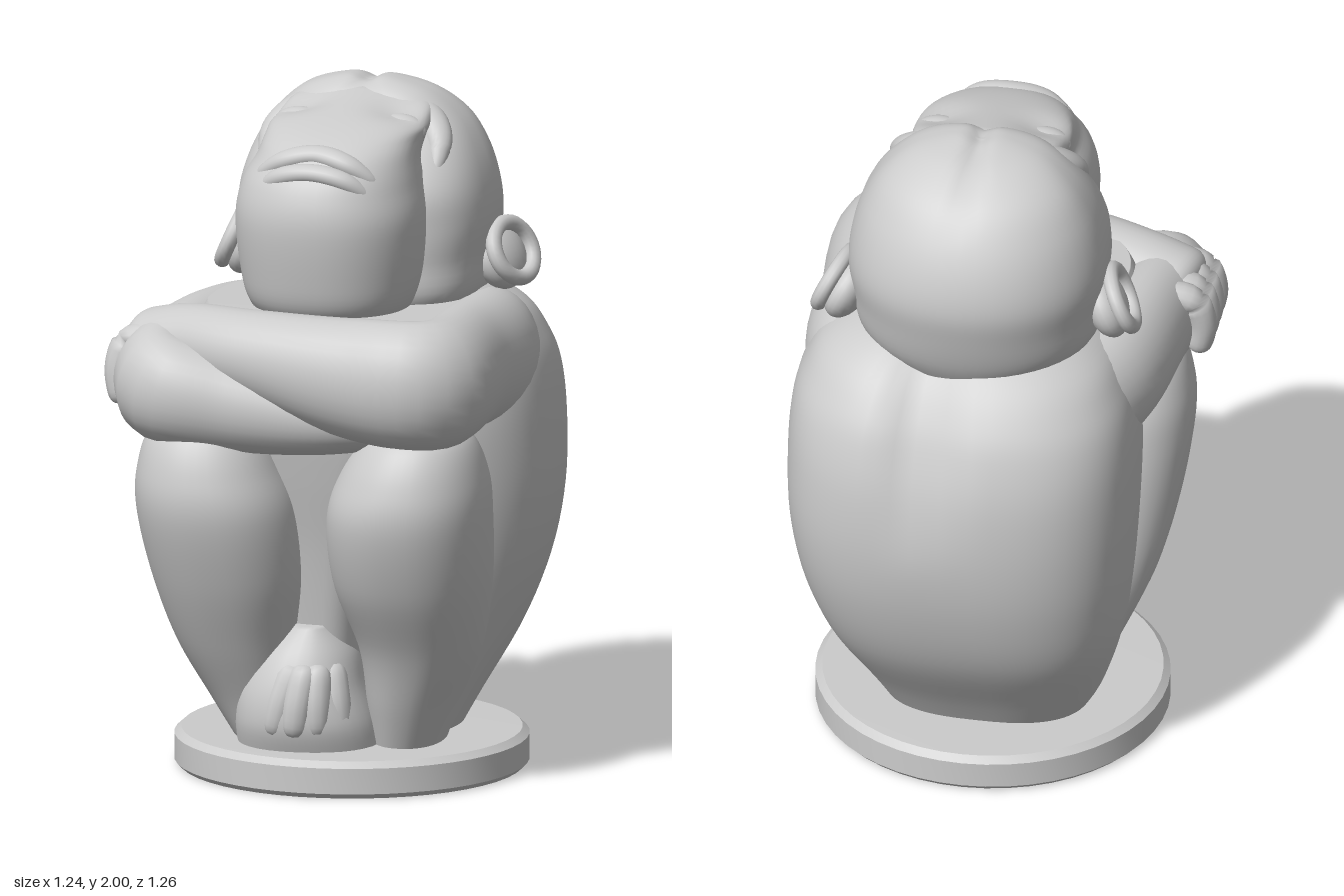
import * as THREE from 'three';
import { toCreasedNormals } from 'three/addons/utils/BufferGeometryUtils.js';

const material = new THREE.MeshStandardMaterial({ color: 0xcccccc });
const YAW = -0.15; // the torso and head both turn a little to one side
const V = (x, y, z) => new THREE.Vector3(x, y, z);

function part(name, geometry, parent) {
  const mesh = new THREE.Mesh(geometry, material);
  mesh.name = name;
  parent.add(mesh);
  return mesh;
}

// Smooth closed skin over a stack of rings (arrays of points)
function skin(rings) {
  const n = rings[0].length, pos = [], idx = [];
  rings.forEach(r => r.forEach(p => pos.push(p.x, p.y, p.z)));
  for (let i = 0; i < rings.length - 1; i++)
    for (let j = 0; j < n; j++) {
      const a = i * n + j, c = i * n + (j + 1) % n;
      idx.push(a, a + n, c, c, a + n, c + n);
    }
  const top = (rings.length - 1) * n;
  for (const ring of [rings[0], rings.at(-1)]) {
    const m = ring.reduce((s, p) => s.add(p), V(0, 0, 0)).divideScalar(n);
    pos.push(m.x, m.y, m.z);
  }
  const lo = rings.length * n;
  for (let j = 0; j < n; j++) {
    const k = (j + 1) % n;
    idx.push(lo, j, k, lo + 1, top + k, top + j);
  }
  const g = new THREE.BufferGeometry();
  g.setAttribute('position', new THREE.Float32BufferAttribute(pos, 3));
  g.setIndex(idx);
  g.computeVertexNormals();
  return g;
}

// Interpolates rows of numbers with a Catmull-Rom spline
function sample(rows, u) {
  const f = u * (rows.length - 1), i = Math.min(Math.floor(f), rows.length - 2), t = f - i;
  const at = k => rows[Math.max(0, Math.min(rows.length - 1, k))];
  return rows[0].map((_, c) => {
    const [a, b, d, e] = [at(i - 1)[c], at(i)[c], at(i + 1)[c], at(i + 2)[c]];
    return b + 0.5 * t * (d - a + t * (2 * a - 5 * b + 4 * d - e + t * (3 * (b - d) + e - a)));
  });
}

// Upright form; rows are [y, centre x, back z, front z, half width]
function loft(rows, { power = 2.2, frontPower = power, steps = 48, sides = 48, carve } = {}) {
  const rings = [], bend = (v, k) => Math.sign(v) * Math.abs(v) ** (2 / k);
  for (let i = 0; i <= steps; i++) {
    const [y, cx, back, front, half] = sample(rows, i / steps), ring = [];
    for (let j = 0; j < sides; j++) {
      const a = j / sides * Math.PI * 2, k = j < sides / 2 ? frontPower : power;
      const p = V(cx + half * bend(Math.cos(a), k), y,
        (back + front) / 2 + (front - back) / 2 * bend(Math.sin(a), k));
      if (carve) carve(p);
      ring.push(p);
    }
    rings.push(ring);
  }
  return skin(rings);
}

// Round-ended limb; rows are [x, y, z, half width across, half height]
function limb(rows, { steps = 40, sides = 24, cap = 0.12 } = {}) {
  const rings = [], at = u => V(...sample(rows, Math.min(1, Math.max(0, u))));
  for (let i = 0; i <= steps; i++) {
    const u = 0.5 - 0.5 * Math.cos(Math.PI * i / steps);
    const [x, y, z, w, h] = sample(rows, u);
    const e = Math.min(1, Math.min(u, 1 - u) / cap), m = Math.max(0.01, Math.sqrt(1 - (1 - e) ** 2));
    const T = at(u + 0.01).sub(at(u - 0.01)).normalize();
    const U = T.clone().cross(Math.abs(T.y) > 0.8 ? V(0, 0, 1) : V(0, 1, 0)).normalize();
    const W = U.clone().cross(T), ring = [];
    for (let j = 0; j < sides; j++) {
      const a = j / sides * Math.PI * 2;
      ring.push(V(x, y, z).addScaledVector(U, Math.cos(a) * w * m).addScaledVector(W, Math.sin(a) * h * m));
    }
    rings.push(ring);
  }
  return skin(rings);
}

function ellipsoid(name, parent, p, s) {
  const mesh = part(name, new THREE.SphereGeometry(1, 24, 16), parent);
  mesh.position.set(...p);
  mesh.scale.set(...s);
}

function buildHead() {
  const head = new THREE.Group();
  head.name = 'head';
  head.position.x = 0.05;
  head.rotation.y = YAW;
  // Skull and broad cheeks, with a parting along the crown
  part('skull', loft([
    [1.28, 0, -0.38, 0.04, 0.22], [1.38, 0, -0.44, 0.16, 0.34], [1.5, 0, -0.48, 0.17, 0.36],
    [1.6, 0, -0.5, 0.17, 0.372], [1.7, 0, -0.485, 0.16, 0.362], [1.8, 0, -0.44, 0.1, 0.33],
    [1.89, 0, -0.37, 0.02, 0.275], [1.96, 0, -0.27, -0.03, 0.19], [1.995, 0, -0.18, -0.08, 0.08],
    [2.0, 0, -0.135, -0.125, 0.01]], {
    power: 2.1, frontPower: 3,
    carve: p => { if (p.y > 1.8) p.y -= 0.02 * Math.exp(-((p.x / 0.03) ** 2)) * (p.y - 1.8) / 0.2; },
  }), head);
  // Upturned face and heavy muzzle, hollowed at the eyes
  part('face', loft([
    [1.33, -0.01, 0, 0.33, 0.18], [1.4, -0.01, -0.05, 0.4, 0.235], [1.5, -0.01, -0.1, 0.43, 0.262],
    [1.65, -0.01, -0.1, 0.45, 0.272], [1.75, -0.01, -0.1, 0.43, 0.255], [1.82, 0, -0.1, 0.385, 0.23],
    [1.865, 0, -0.15, 0.33, 0.225], [1.905, 0, -0.2, 0.23, 0.225], [1.945, 0, -0.2, 0.07, 0.19],
    [1.97, 0, -0.17, -0.06, 0.06]], {
    carve: p => {
      const d = ((Math.abs(p.x) - 0.15) / 0.08) ** 2 + ((p.z - 0.04) / 0.07) ** 2;
      if (p.y > 1.8) p.y -= 0.025 * Math.exp(-d);
    },
  }), head);
  for (const s of [-1, 1]) {
    const side = s > 0 ? 'left' : 'right';
    part(side + 'Brow', limb([
      [0.02 * s, 1.925, -0.06, 0.03, 0.02], [0.1 * s, 1.93, -0.085, 0.05, 0.035],
      [0.19 * s, 1.9, -0.07, 0.05, 0.04], [0.25 * s, 1.84, -0.01, 0.04, 0.035],
      [0.26 * s, 1.74, 0.06, 0.025, 0.03]], { cap: 0.3 }), head);
    ellipsoid(side + 'Eyelid', head, [0.15 * s, 1.875, 0.045], [0.08, 0.048, 0.05]);
    ellipsoid(side + 'Nostril', head, [0.04 * s, 1.87, 0.22], [0.05, 0.03, 0.06]);
    // Cupped ear leaning against the head, its lobe flaring outwards
    const ear = new THREE.Group();
    ear.name = side + 'Ear';
    ear.position.set(0.415 * s, 1.495, -0.16 - 0.025 * s);
    ear.lookAt(ear.position.clone().add(V(s, 0.45, 0.2)));
    const rim = part('earRim', new THREE.TorusGeometry(0.083, 0.023, 12, 32), ear);
    rim.scale.set(1.15, 1, 1);
    ellipsoid('earShell', ear, [0, 0, -0.05], [0.108, 0.1, 0.06]);
    head.add(ear);
  }
  ellipsoid('noseBridge', head, [0, 1.885, 0.12], [0.045, 0.035, 0.13]);
  // Downturned lips with the mouth line between them
  part('upperLip', limb([[-0.19, 1.765, 0.315, 0.02, 0.02], [-0.1, 1.825, 0.34, 0.035, 0.03],
    [0, 1.848, 0.33, 0.04, 0.03], [0.1, 1.825, 0.34, 0.035, 0.03], [0.18, 1.765, 0.315, 0.02, 0.02]]), head);
  part('lowerLip', limb([[-0.18, 1.725, 0.335, 0.02, 0.02], [-0.1, 1.785, 0.375, 0.03, 0.028],
    [0, 1.805, 0.38, 0.035, 0.028], [0.1, 1.785, 0.375, 0.03, 0.028], [0.17, 1.725, 0.335, 0.02, 0.02]]), head);
  return head;
}

export function createModel() {
  const model = new THREE.Group();
  model.name = 'crouchingFigure';

  // Round plinth
  const profile = [[0, 0], [0.495, 0], [0.51, 0.015], [0.51, 0.09], [0.49, 0.108], [0, 0.115]];
  const base = part('base', toCreasedNormals(new THREE.LatheGeometry(
    profile.map(p => new THREE.Vector2(...p)), 48), 0.6), model);
  base.position.x = 0.04;

  // Hunched, broad-backed torso with a groove between the shoulder blades
  const trunk = new THREE.Group();
  trunk.name = 'trunk';
  trunk.position.x = 0.08;
  trunk.rotation.y = YAW;
  model.add(trunk);
  part('torso', loft([
    [0.09, -0.05, -0.29, 0.14, 0.29], [0.2, -0.05, -0.36, 0.15, 0.345], [0.4, -0.03, -0.495, 0.15, 0.425],
    [0.6, -0.01, -0.57, 0.18, 0.475], [0.8, 0, -0.603, 0.21, 0.5], [1.0, 0, -0.6, 0.23, 0.505],
    [1.15, 0, -0.565, 0.22, 0.495], [1.25, 0, -0.515, 0.2, 0.465], [1.34, 0, -0.44, 0.15, 0.41],
    [1.41, 0, -0.34, 0.08, 0.29], [1.44, 0, -0.2, 0, 0.12]], {
    power: 2.65, frontPower: 2.25, sides: 64,
    carve: p => {
      const h = THREE.MathUtils.smoothstep(p.y, 0.75, 1.25);
      if (p.z < -0.25) p.z += 0.055 * h * Math.exp(-(((p.x - 0.07) / 0.09) ** 2));
    },
  }), trunk);
  // Chest and belly filling the space behind the arms and between the thighs
  part('chest', loft([
    [0.3, -0.07, -0.1, 0.27, 0.11], [0.5, -0.06, -0.1, 0.3, 0.13], [0.7, -0.05, -0.1, 0.335, 0.18],
    [0.9, -0.04, -0.1, 0.38, 0.28], [1.05, -0.02, -0.15, 0.41, 0.38], [1.2, -0.02, -0.2, 0.43, 0.42],
    [1.33, -0.02, -0.2, 0.42, 0.41], [1.385, -0.02, -0.15, 0.4, 0.385]],
    { power: 2.6, frontPower: 3 }), trunk);

  // Folded legs: calf and thigh pressed into one form, knee at the top
  part('leftLeg', loft([
    [0.09, 0.23, -0.05, 0.29, 0.1], [0.22, 0.25, -0.05, 0.35, 0.13], [0.4, 0.28, -0.03, 0.43, 0.175],
    [0.6, 0.27, 0.0, 0.54, 0.225], [0.8, 0.27, 0.04, 0.605, 0.235], [0.93, 0.285, 0.07, 0.595, 0.21],
    [1.04, 0.3, 0.15, 0.54, 0.15], [1.09, 0.3, 0.25, 0.45, 0.06]]), model);
  part('rightLeg', loft([
    [0.09, -0.18, -0.08, 0.25, 0.09], [0.22, -0.21, -0.08, 0.3, 0.135], [0.4, -0.25, -0.06, 0.39, 0.185],
    [0.6, -0.27, -0.03, 0.48, 0.225], [0.8, -0.295, 0.01, 0.54, 0.235], [0.93, -0.315, 0.05, 0.53, 0.21],
    [1.04, -0.32, 0.12, 0.48, 0.16], [1.09, -0.3, 0.2, 0.4, 0.06]]), model);

  // Crossed feet with toes
  part('feet', loft([
    [0.09, -0.04, 0, 0.39, 0.21], [0.18, -0.05, 0, 0.42, 0.205], [0.28, -0.06, 0, 0.41, 0.18],
    [0.38, -0.05, 0, 0.37, 0.14], [0.46, -0.03, 0.05, 0.31, 0.06]], { sides: 32, steps: 24 }), model);
  for (let i = 0; i < 5; i++) {
    const x = -0.18 + i * 0.062, z = 0.39 - 0.014 * (i - 2) ** 2;
    part('toe', limb([[x * 0.5, 0.36, z - 0.03, 0.045, 0.045], [x * 0.8, 0.25, z, 0.045, 0.045],
      [x, 0.15, z, 0.04, 0.04]], { steps: 16, sides: 12, cap: 0.25 }), model);
  }

  // Arms folded over the knees, one forearm resting on the other
  part('leftArm', limb([
    [0.26, 1.16, -0.34, 0.15, 0.18], [0.42, 1.2, -0.1, 0.15, 0.19], [0.41, 1.22, 0.2, 0.135, 0.185],
    [0.36, 1.22, 0.48, 0.14, 0.19], [0.12, 1.23, 0.465, 0.14, 0.175], [-0.18, 1.27, 0.385, 0.13, 0.13],
    [-0.38, 1.28, 0.29, 0.12, 0.11], [-0.53, 1.24, 0.22, 0.14, 0.11]], { steps: 72, sides: 32, cap: 0.07 }), model);
  part('rightArm', limb([
    [-0.1, 1.14, -0.36, 0.15, 0.18], [-0.29, 1.18, -0.14, 0.15, 0.19], [-0.4, 1.2, 0.14, 0.13, 0.175],
    [-0.45, 1.17, 0.38, 0.13, 0.16], [-0.24, 1.13, 0.41, 0.125, 0.14], [0.02, 1.1, 0.41, 0.11, 0.11],
    [0.28, 1.11, 0.38, 0.1, 0.09]], { steps: 64, sides: 32, cap: 0.07 }), model);

  // Fingers wrapped around the opposite elbow
  for (let i = 0; i < 4; i++) {
    const z = 0.13 + i * 0.062, x = -0.008 * i;
    part('finger', limb([[-0.42 + x, 1.3, z, 0.045, 0.04], [-0.52 + x, 1.285, z, 0.045, 0.04],
      [-0.555 + x, 1.2, z + 0.01, 0.042, 0.042], [-0.54 + x, 1.1, z + 0.02, 0.038, 0.038]],
      { steps: 24, sides: 14, cap: 0.15 }), model);
  }

  model.add(buildHead());
  return model;
}
